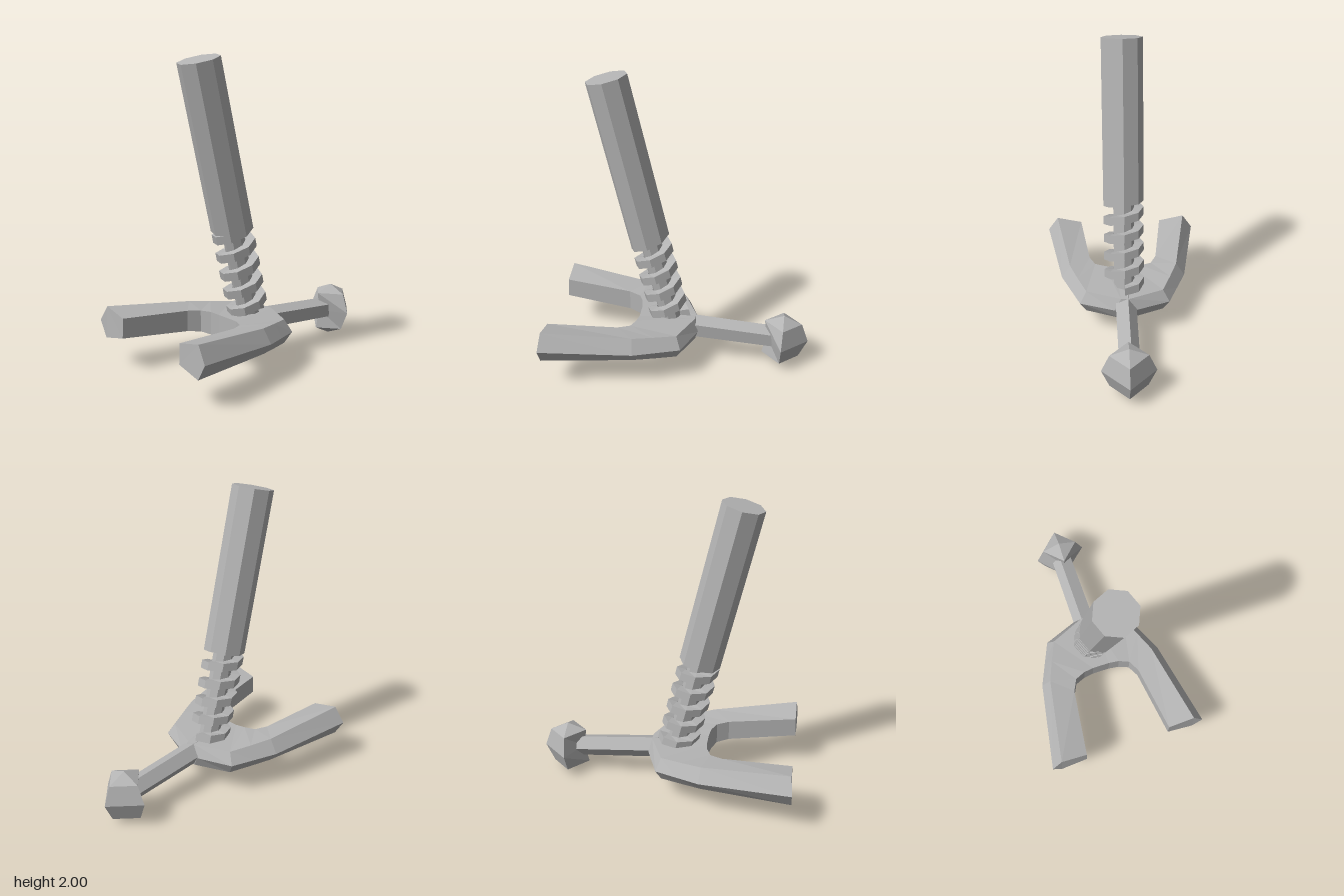
import * as THREE from 'three';

const grey = new THREE.MeshStandardMaterial({ color: 0xb4b4b4, flatShading: true });
grey.name = 'grey';

function part(name, geometry) {
  const mesh = new THREE.Mesh(geometry, grey);
  mesh.name = name;
  return mesh;
}

// Skin a row of equal-sized cross-sections and close both ends
function loft(sections) {
  const n = sections[0].length, last = (sections.length - 1) * n, index = [];
  for (let i = 0; i < sections.length - 1; i++) {
    for (let j = 0; j < n; j++) {
      const a = i * n + j, b = i * n + (j + 1) % n;
      index.push(a, a + n, b, b, a + n, b + n);
    }
  }
  for (let k = 1; k < n - 1; k++) {
    index.push(0, k, k + 1, last, last + k + 1, last + k);
  }
  const g = new THREE.BufferGeometry();
  g.setAttribute('position', new THREE.Float32BufferAttribute(sections.flat(2), 3));
  g.setIndex(index);
  const flat = g.toNonIndexed();
  flat.computeVertexNormals();
  return flat;
}

// Forked base: pentagonal sections (top, outer, bottom, inner low, inner high)
function forkGeometry() {
  const middle = [[0.10, 0.31, 0], [0.125, 0.23, 0], [0.10, 0.15, 0], [-0.28, 0.17, 0], [-0.28, 0.32, 0]];
  const half = [
    [[0.10, 0.31, 0.03], [0.12, 0.23, 0.075], [0.10, 0.15, 0.03], [-0.28, 0.17, 0.06], [-0.28, 0.32, 0.06]],
    [[0.0, 0.31, 0.265], [0.03, 0.23, 0.31], [0.0, 0.15, 0.265], [-0.29, 0.17, 0.13], [-0.29, 0.325, 0.13]],
    [[-0.14, 0.325, 0.325], [-0.12, 0.24, 0.375], [-0.14, 0.163, 0.325], [-0.32, 0.18, 0.20], [-0.32, 0.325, 0.20]],
    [[-0.28, 0.34, 0.38], [-0.27, 0.25, 0.44], [-0.28, 0.175, 0.38], [-0.40, 0.19, 0.24], [-0.40, 0.33, 0.24]],
    [[-0.86, 0.40, 0.48], [-0.87, 0.295, 0.55], [-0.87, 0.19, 0.485], [-0.865, 0.23, 0.30], [-0.86, 0.36, 0.30]],
  ];
  const mirrored = half.map((s) => s.map(([x, y, z]) => [x, y, -z])).reverse();
  return loft([...mirrored, middle, ...half]);
}

// Square-section coil with eight straight pieces per turn
function springGeometry() {
  const pitch = 0.128, inner = 0.075, outer = 0.137, h = 0.028, sections = [];
  for (let i = -32; i <= 12; i++) {
    const t = i * Math.PI / 4, y = -0.102 + pitch * i / 8;
    const at = (r, dy) => [r * Math.cos(t), y + dy, -r * Math.sin(t)];
    sections.push([at(inner, h), at(inner, -h), at(outer, -h), at(outer, h)]);
  }
  return loft(sections);
}

// Faceted knob, dented where the bar enters
function knobGeometry() {
  const g = new THREE.SphereGeometry(0.178, 4, 4);
  const p = g.attributes.position;
  for (let i = 0; i < p.count; i++) if (p.getX(i) < -0.17) p.setX(i, -0.1);
  return g;
}

export function createModel() {
  const model = new THREE.Group();
  model.name = 'springLever';

  model.add(part('forkedBase', forkGeometry()));

  // Leaning post: octagonal grip, thin rod and coil
  const post = new THREE.Group();
  post.name = 'post';
  post.position.set(-0.215, 0.9, 0);
  post.rotation.z = 0.23;
  const grip = part('grip', new THREE.CylinderGeometry(0.137, 0.137, 1.1, 8));
  grip.position.y = 0.55;
  const rod = part('rod', new THREE.CylinderGeometry(0.07, 0.07, 0.7, 8));
  rod.position.y = -0.31;
  post.add(grip, rod, part('spring', springGeometry()));
  model.add(post);

  // Five-sided bar running out to the knob
  const barGeometry = new THREE.CylinderGeometry(0.075, 0.078, 0.58, 5, 1, false, -105 * Math.PI / 180);
  barGeometry.rotateZ(-Math.PI / 2);
  const bar = part('bar', barGeometry);
  bar.position.set(0.34, 0.216, 0);
  bar.rotation.z = -0.08;
  model.add(bar);

  const knob = part('knob', knobGeometry());
  knob.position.set(0.69, 0.181, 0);
  knob.rotation.z = -0.06;
  model.add(knob);

  return model;
}
